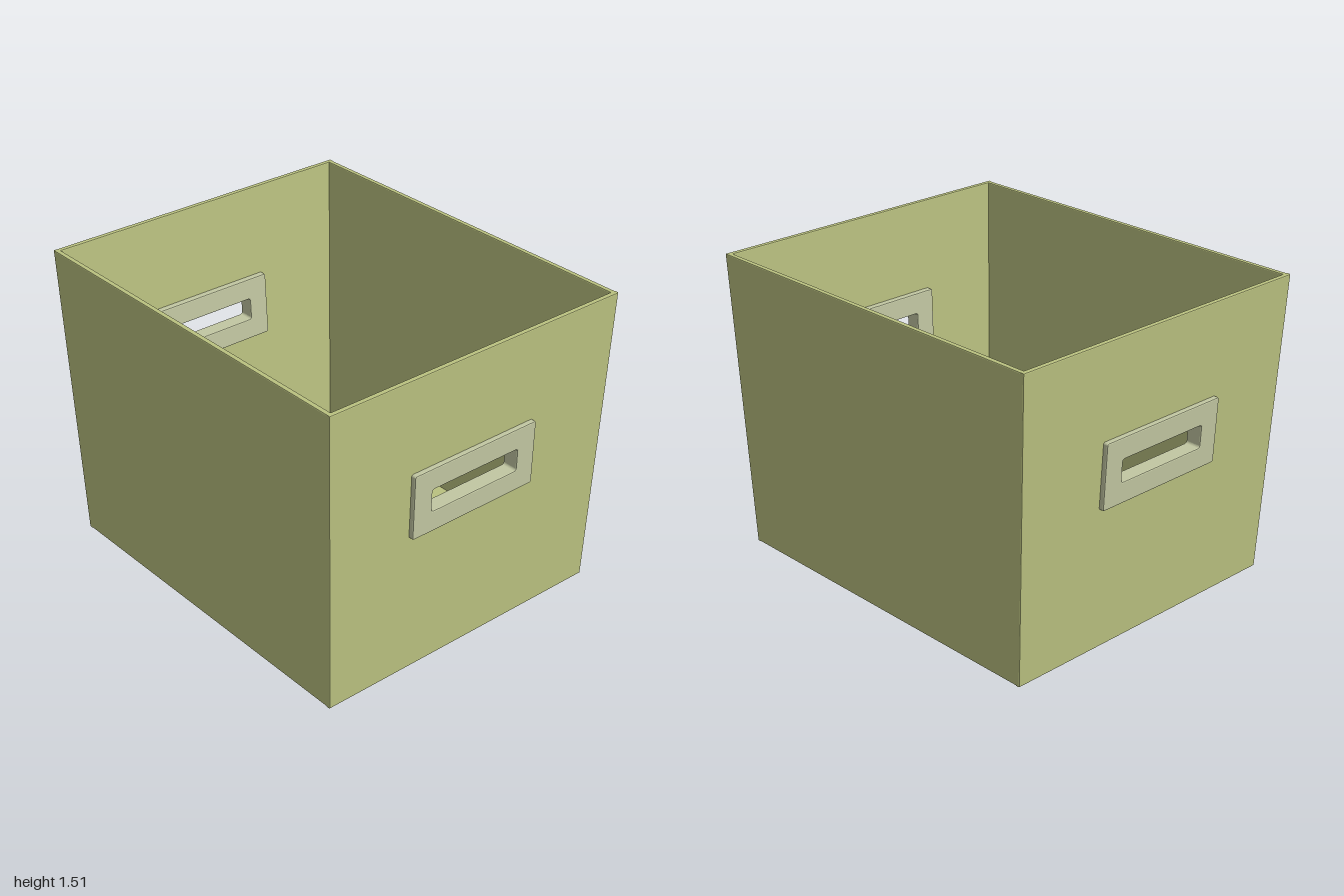
import * as THREE from 'three';

const H = 1.51, T = 0.025;
// outer edges at floor level and at the rim
const LEFT = [0.775, 0.836], RIGHT = [-0.81, -0.84];
const FRONT = [0.95, 0.986], BACK = [-0.92, -1.0];
const at = (edge, y) => edge[0] + (edge[1] - edge[0]) * y / H;

// rectangle with rounded corners
function roundedRect(path, x0, y0, x1, y1, r) {
  path.absarc(x1 - r, y0 + r, r, -Math.PI / 2, 0);
  path.absarc(x1 - r, y1 - r, r, 0, Math.PI / 2);
  path.absarc(x0 + r, y1 - r, r, Math.PI / 2, Math.PI);
  path.absarc(x0 + r, y0 + r, r, Math.PI, Math.PI * 1.5);
  path.closePath();
  return path;
}

// four-sided outline between two sloping edges
function trapezoid(a0, a1, b0, b1) {
  return new THREE.Shape([[a0, 0], [b0, 0], [b1, H], [a1, H]].map(p => new THREE.Vector2(...p)));
}

// bevelled slab filling exactly 0..thickness in depth
function slab(shape, thickness, bevel) {
  const g = new THREE.ExtrudeGeometry(shape, {
    depth: thickness - 2 * bevel, bevelEnabled: true, bevelThickness: bevel,
    bevelSize: bevel, bevelOffset: -bevel, bevelSegments: 2, curveSegments: 4,
  });
  return g.translate(0, 0, bevel);
}

// lean a slab so that it follows a sloping edge
function lean(g, axis, edge, offset) {
  const p = g.attributes.position;
  for (let i = 0; i < p.count; i++) {
    p.setComponent(i, axis, p.getComponent(i, axis) + at(edge, p.getY(i)) + offset);
  }
  g.computeVertexNormals();
  return g;
}

export function createModel() {
  const model = new THREE.Group();
  const olive = new THREE.MeshStandardMaterial({ name: 'olive', color: 0xbac180 });
  const paleGrey = new THREE.MeshStandardMaterial({ name: 'paleGrey', color: 0xc2c7a2 });
  const add = (name, geometry, material) => {
    const mesh = new THREE.Mesh(geometry, material);
    mesh.name = name;
    model.add(mesh);
  };

  // front and back walls, each with a grip through it
  for (const [name, edge, s] of [['front', FRONT, 1], ['back', BACK, -1]]) {
    const wall = trapezoid(RIGHT[0], RIGHT[1], LEFT[0], LEFT[1]);
    wall.holes.push(roundedRect(new THREE.Path(), -0.33, 0.77, 0.29, 0.99, 0.01));
    add(name + 'Wall', lean(slab(wall, T, 0.005), 2, edge, s > 0 ? -T : 0), olive);

    const grip = roundedRect(new THREE.Shape(), -0.38, 0.72, 0.34, 1.045, 0.01);
    grip.holes.push(roundedRect(new THREE.Path(), -0.275, 0.825, 0.235, 0.937, 0.012));
    const depth = 0.081, out = 0.025;
    add(name + 'Handle', lean(slab(grip, depth, 0.006), 2, edge, s > 0 ? out - depth : -out), paleGrey);
  }

  // side walls tucked between the front and back walls
  const tuck = T / 2;
  for (const [name, edge, s] of [['left', LEFT, 1], ['right', RIGHT, -1]]) {
    const wall = trapezoid(-FRONT[0] + tuck, -FRONT[1] + tuck, -BACK[0] - tuck, -BACK[1] - tuck);
    const g = slab(wall, T, 0.005).rotateY(Math.PI / 2);
    add(name + 'Wall', lean(g, 0, edge, s > 0 ? -T : 0), olive);
  }

  // floor
  const w = LEFT[0] - RIGHT[0] - T, d = FRONT[0] - BACK[0] - T;
  const floor = new THREE.BoxGeometry(w, 0.03, d);
  floor.translate((LEFT[0] + RIGHT[0]) / 2, 0.015, (FRONT[0] + BACK[0]) / 2);
  add('floor', floor, olive);

  return model;
}
